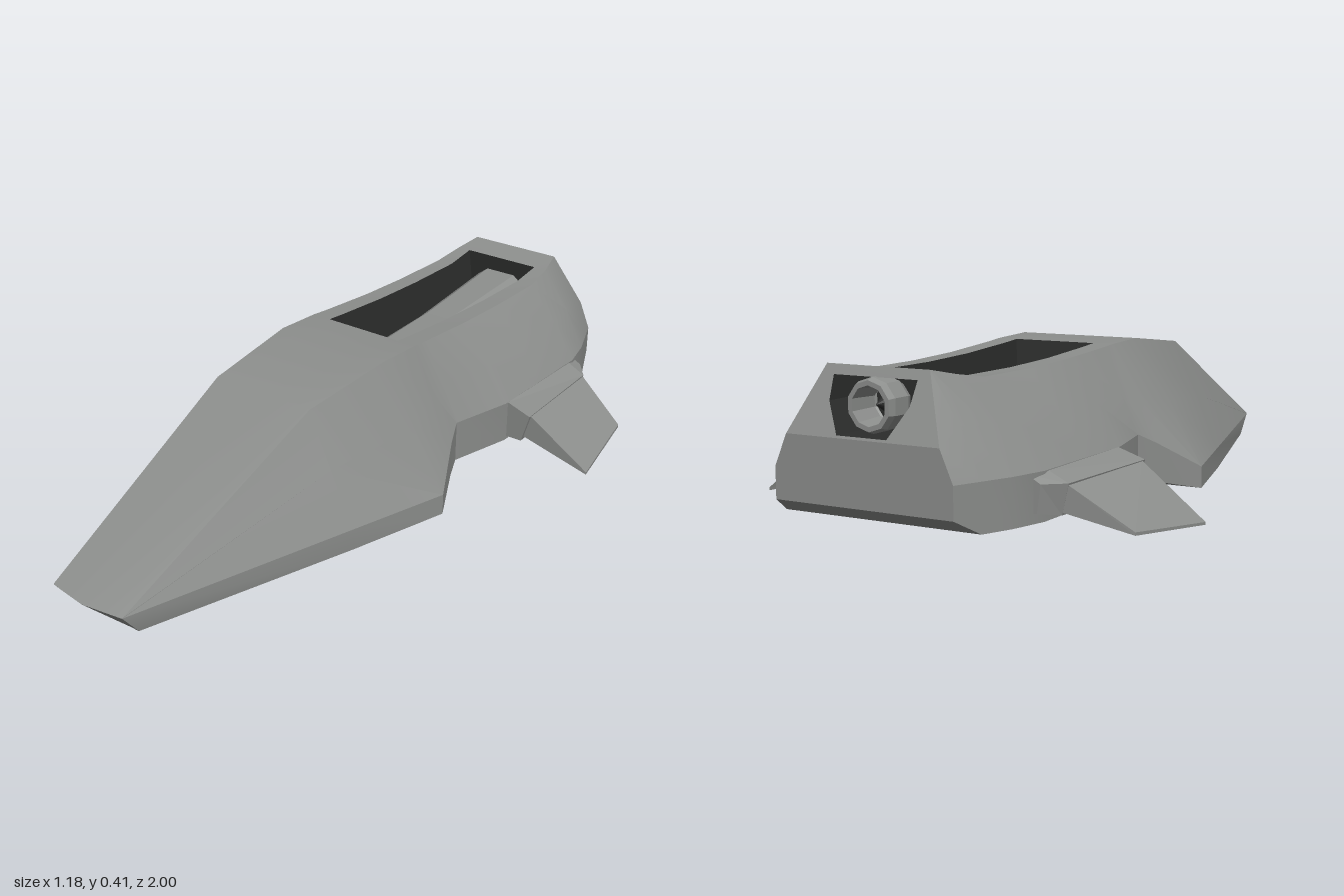
import * as THREE from 'three';
import { toCreasedNormals, mergeGeometries } from 'three/addons/utils/BufferGeometryUtils.js';

const paint = (name, color) => {
  const m = new THREE.MeshStandardMaterial({ color, side: THREE.DoubleSide });
  m.name = name;
  return m;
};

// Surface through rows of points; skip(i, j) leaves a cell open
function skin(rows, skip = () => false) {
  const pos = [];
  const tri = (...pts) => {
    const [a, b, c] = pts.map((p) => new THREE.Vector3(...p));
    if (b.sub(a).cross(c.sub(a)).length() > 1e-7) pts.forEach((p) => pos.push(...p));
  };
  for (let i = 0; i < rows.length - 1; i++) {
    for (let j = 0; j < rows[i].length - 1; j++) {
      if (skip(i, j)) continue;
      const [a, b, c, d] = [rows[i][j], rows[i][j + 1], rows[i + 1][j], rows[i + 1][j + 1]];
      tri(a, c, b);
      tri(b, c, d);
    }
  }
  const g = new THREE.BufferGeometry();
  g.setAttribute('position', new THREE.Float32BufferAttribute(pos, 3));
  g.computeVertexNormals();
  return g;
}

const flip = ([x, y, z]) => [-x, y, z];
const close = (loop) => [...loop, loop[0]];
const centre = (loop) => {
  const c = [0, 1, 2].map((k) => loop.reduce((s, p) => s + p[k], 0) / loop.length);
  return loop.map(() => c);
};
// Closed solid from loops of equal length
const solid = (loops) => skin([centre(loops[0]), ...loops, centre(loops.at(-1))].map(close));

export function createModel() {
  const group = new THREE.Group();
  const grey = paint('hull grey', 0x8c8e8c);
  const dark = paint('recess dark', 0x2b2c2b);
  const add = (name, geo, mat, parent = group) => {
    const m = new THREE.Mesh(geo, mat);
    m.name = name;
    parent.add(m);
    return m;
  };

  // Hull stations: z, side x, bottom y, side edge y, roof x, roof y
  const stations = [
    [0.98, 0.12, 0, 0.063, 0.12, 0.065],
    [0.32, 0.303, 0, 0.062, 0.16, 0.37],
    [0.02, 0.385, 0, 0.06, 0.18, 0.405],
    [-0.12, 0.315, 0.035, 0.141, 0.18, 0.4],
    [-0.18, 0.29, 0.05, 0.17, 0.179, 0.395],
    [-0.37, 0.335, 0.05, 0.17, 0.177, 0.383],
    [-0.55, 0.335, 0.05, 0.17, 0.175, 0.378],
    [-0.75, 0.335, 0.05, 0.17, 0.173, 0.379],
    [-0.85, 0.31, 0.05, 0.17, 0.163, 0.395],
    [-0.93, 0.278, 0.05, 0.17, 0.145, 0.412],
  ];
  const halves = stations.map(([z, xs, yb, ys, xt, yt]) => [
    [xs, yb, z], [xs, ys, z],
    [(xs + xt) / 2 + (z < -0.3 ? 0.012 : 0), (ys + yt) / 2, z],
    [xt, yt, z], [Math.min(0.122, xt * 0.75), yt, z], [0, yt, z],
  ]);
  // Swept nose edge and sloping tail
  const nose = halves[0];
  nose[0][2] = 0.93;
  nose[4][2] = 0.987;
  nose[5][2] = 1;
  halves.push([[0.25, 0.09, -1], [0.25, 0.17, -1], [0.215, 0.25, -1], ...halves[9].slice(3)]);
  const full = (h) => close([...h, ...h.slice(0, 5).reverse().map(flip)]);
  const hullGeo = skin(halves.map(full), (i, j) => i >= 3 && i <= 7 && (j === 4 || j === 5));

  // Nose face
  const lip = [nose[1], nose[4], nose[5], flip(nose[4]), flip(nose[1])];
  const noseGeo = skin([lip, lip.map(([x]) => [x, 0, 0.93])]);

  // Tail face: sloped frame with an engine opening, and the upright panel below
  const tailZ = (y) => (y > 0.25 ? -1 + ((y - 0.25) / 0.162) * 0.07 : -1);
  const opening = [[0.118, 0.388], [0.113, 0.33], [0.07, 0.256], [-0.07, 0.256], [-0.113, 0.33], [-0.118, 0.388]];
  const outline = (pts) => pts.map(([x, y]) => new THREE.Vector2(x, y));
  const frame = new THREE.Shape(outline([[-0.215, 0.25], [0.215, 0.25], [0.145, 0.412], [-0.145, 0.412]]));
  frame.holes.push(new THREE.Path(outline(opening)));
  const panel = new THREE.Shape(outline([[-0.25, 0.09], [0.25, 0.09], [0.25, 0.17], [0.215, 0.25], [-0.215, 0.25], [-0.25, 0.17]]));
  const tail = [frame, panel].map((s) => {
    const g = new THREE.ShapeGeometry(s);
    const p = g.attributes.position;
    for (let i = 0; i < p.count; i++) p.setZ(i, tailZ(p.getY(i)));
    const idx = g.index.array;
    for (let i = 0; i < idx.length; i += 3) [idx[i], idx[i + 1]] = [idx[i + 1], idx[i]];
    g.deleteAttribute('uv');
    g.computeVertexNormals();
    return g.toNonIndexed();
  });
  add('hull', toCreasedNormals(mergeGeometries([hullGeo, noseGeo, ...tail]), 0.35), grey);

  // Recess in the roof: sloping walls down to a floor
  const rims = halves.slice(3, 9).map((h) => h[4]);
  const floorY = 0.22;
  const base = ([x, , z]) => [x * 0.8, floorY, Math.min(-0.16, z)];
  const rimLoop = [...rims, ...rims.map(flip).reverse()];
  const floorLoop = rimLoop.map(base);
  add('roofRecess', skin([close(rimLoop), close(floorLoop), close(centre(floorLoop))]), dark);

  // Tapered spine lying in the recess: z, half width, shoulder y, top y
  const spine = [
    [-0.13, 0.035, 0.27, 0.28],
    [-0.2, 0.06, 0.285, 0.3],
    [-0.5, 0.066, 0.295, 0.315],
    [-0.848, 0.082, 0.325, 0.35],
  ].map(([z, w, ys, yt]) => [
    [w, floorY, z], [w, ys, z], [w * 0.6, yt, z],
    [-w * 0.6, yt, z], [-w, ys, z], [-w, floorY, z],
  ]);
  add('spine', solid(spine), grey);

  // Engine bay behind the tail opening
  const mouth = opening.map(([x, y]) => [x, y, tailZ(y)]);
  const back = opening.map(([x, y]) => [x, y, -0.87]);
  add('engineBay', skin([mouth, back, centre(back)].map(close)), dark);

  // Ten-sided nozzle ring with a dark cone inside
  const engine = new THREE.Group();
  engine.name = 'engine';
  engine.position.set(0, 0.324, -0.87);
  engine.rotation.x = -Math.PI / 2;
  group.add(engine);
  const ring = [[0.05, 0], [0.066, 0.03], [0.066, 0.08], [0.06, 0.098], [0.048, 0.098], [0.042, 0.02]];
  add('nozzle', toCreasedNormals(new THREE.LatheGeometry(outline(ring), 10), 0.3), grey, engine);
  const cone = new THREE.ConeGeometry(0.036, 0.07, 10);
  cone.translate(0, 0.035, 0);
  add('nozzleCone', toCreasedNormals(cone, 0.3), dark, engine);

  // Wing mounts and drooping fins, mirrored
  const mount = [
    [[0.28, 0.17, -0.38], [0.335, 0.17, -0.38], [0.41, 0.145, -0.38], [0.385, 0.06, -0.38], [0.28, 0.06, -0.38]],
    [[0.28, 0.17, -0.73], [0.335, 0.168, -0.73], [0.388, 0.142, -0.73], [0.37, 0.065, -0.73], [0.28, 0.065, -0.73]],
    [[0.28, 0.165, -0.785], [0.31, 0.165, -0.785], [0.345, 0.145, -0.785], [0.335, 0.075, -0.785], [0.28, 0.075, -0.785]],
  ];
  const fin = [
    [[0.405, 0.145, -0.39], [0.383, 0.14, -0.73], [0.37, 0.072, -0.73], [0.385, 0.072, -0.39]],
    [[0.59, 0.011, -0.41], [0.54, 0.036, -0.69], [0.54, 0.028, -0.69], [0.59, 0.004, -0.41]],
  ];
  for (const [side, s] of [['left', 1], ['right', -1]]) {
    // reversing each loop keeps the mirrored faces outward
    const place = (loops) => loops.map((l) => (s > 0 ? l : l.map(flip).reverse()));
    const wing = new THREE.Group();
    wing.name = side + 'Wing';
    group.add(wing);
    add(side + 'WingMount', solid(place(mount).map((l) => [...l].reverse())), grey, wing);
    add(side + 'Fin', solid(place(fin)), grey, wing);
  }
  return group;
}
